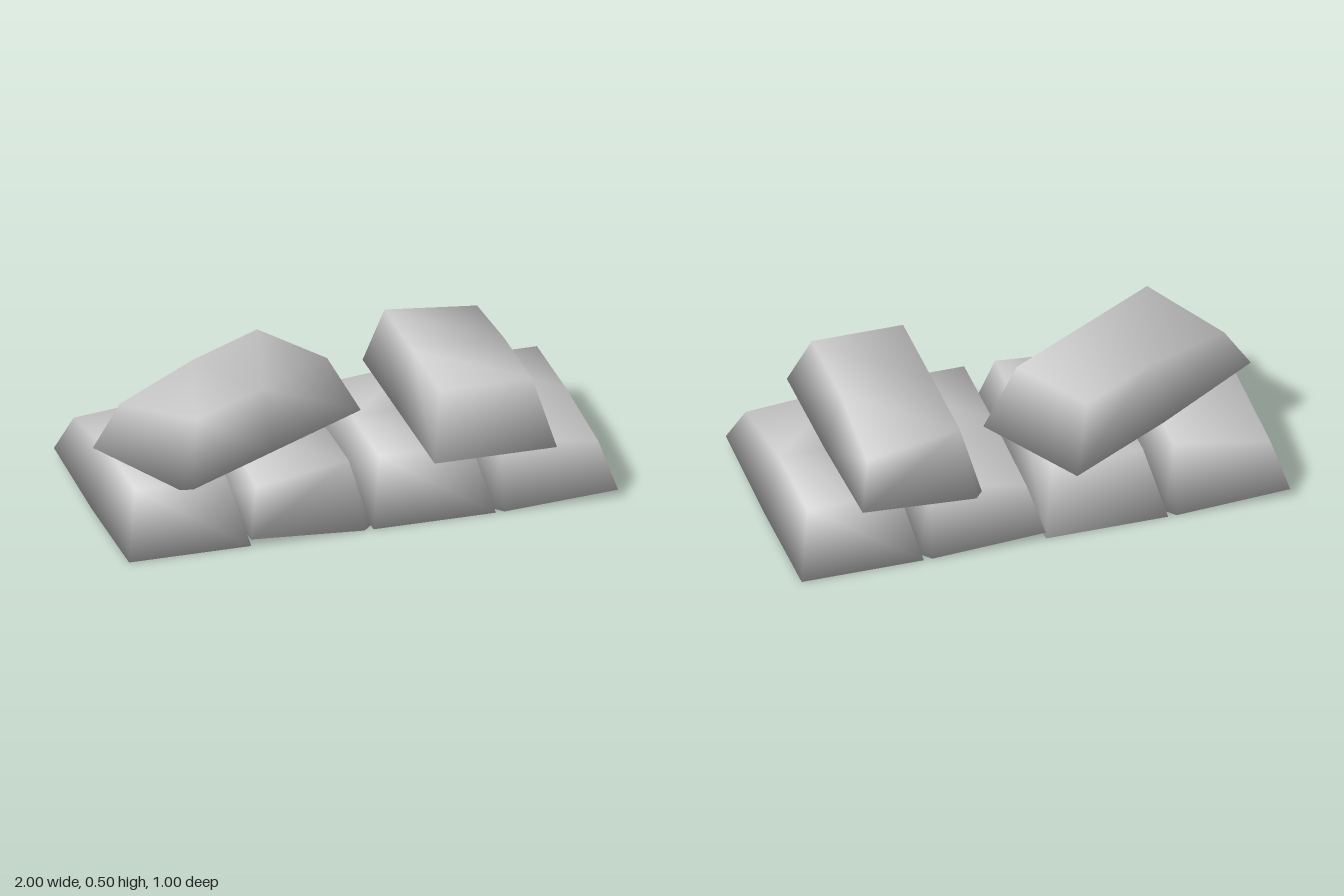
import * as THREE from 'three';

// Corners of one ingot: back, middle and front cross-sections.
// The front left corner is pinched, the front right edge is chamfered.
const corners = [
  [-0.25, 0, -0.5], [0.25, 0, -0.5], [0.187, 0.25, -0.375], [-0.187, 0.25, -0.375],
  [-0.25, 0, 0], [0.25, 0, 0], [0.187, 0.25, 0], [-0.187, 0.25, 0],
  [-0.25, 0.028, 0.5], [0.215, 0, 0.5], [0.25, 0, 0.46], [0.187, 0.25, 0.375], [-0.2, 0.2, 0.4],
];
const faces = [
  [0, 3, 2, 1],                                      // back
  [0, 1, 5, 4], [4, 5, 10], [4, 10, 9], [4, 9, 8],   // underside
  [1, 2, 6, 5], [5, 6, 11, 10],                      // right side
  [3, 7, 6, 2], [7, 12, 11], [7, 11, 6],             // top
  [0, 4, 7, 3], [4, 8, 12, 7],                       // left side
  [8, 9, 11, 12], [9, 10, 11],                       // front and chamfer
];

// Smooth-shaded ingot, optionally mirrored left to right
function ingotGeometry(mirrored) {
  const positions = corners.flatMap(([x, y, z]) => [mirrored ? -x : x, y, z]);
  const index = [];
  for (const face of faces) {
    const f = mirrored ? [...face].reverse() : face;
    for (let i = 1; i < f.length - 1; i++) index.push(f[0], f[i], f[i + 1]);
  }
  const geometry = new THREE.BufferGeometry();
  geometry.setAttribute('position', new THREE.Float32BufferAttribute(positions, 3));
  geometry.setIndex(index);
  geometry.computeVertexNormals();
  return geometry;
}

export function createModel() {
  const group = new THREE.Group();
  group.name = 'ingotPile';
  const material = new THREE.MeshStandardMaterial({ color: 0xcccccc });
  const plain = ingotGeometry(false);
  const mirrored = ingotGeometry(true);

  const addIngot = (name, geometry, x, y, z, turn) => {
    const mesh = new THREE.Mesh(geometry, material);
    mesh.name = name;
    mesh.position.set(x, y, z);
    mesh.rotation.y = turn;
    group.add(mesh);
  };

  // Bottom row
  addIngot('bottomIngot1', mirrored, -0.75, 0, 0, Math.PI);
  addIngot('bottomIngot2', plain, -0.25, 0, 0, 0);
  addIngot('bottomIngot3', mirrored, 0.25, 0, 0, Math.PI);
  addIngot('bottomIngot4', mirrored, 0.75, 0, 0, 0);

  // Upper layer: one askew, one straight
  addIngot('askewTopIngot', plain, -0.445, 0.25, -0.005, -Math.PI / 3);
  addIngot('straightTopIngot', plain, 0.5, 0.25, 0, Math.PI);

  return group;
}
